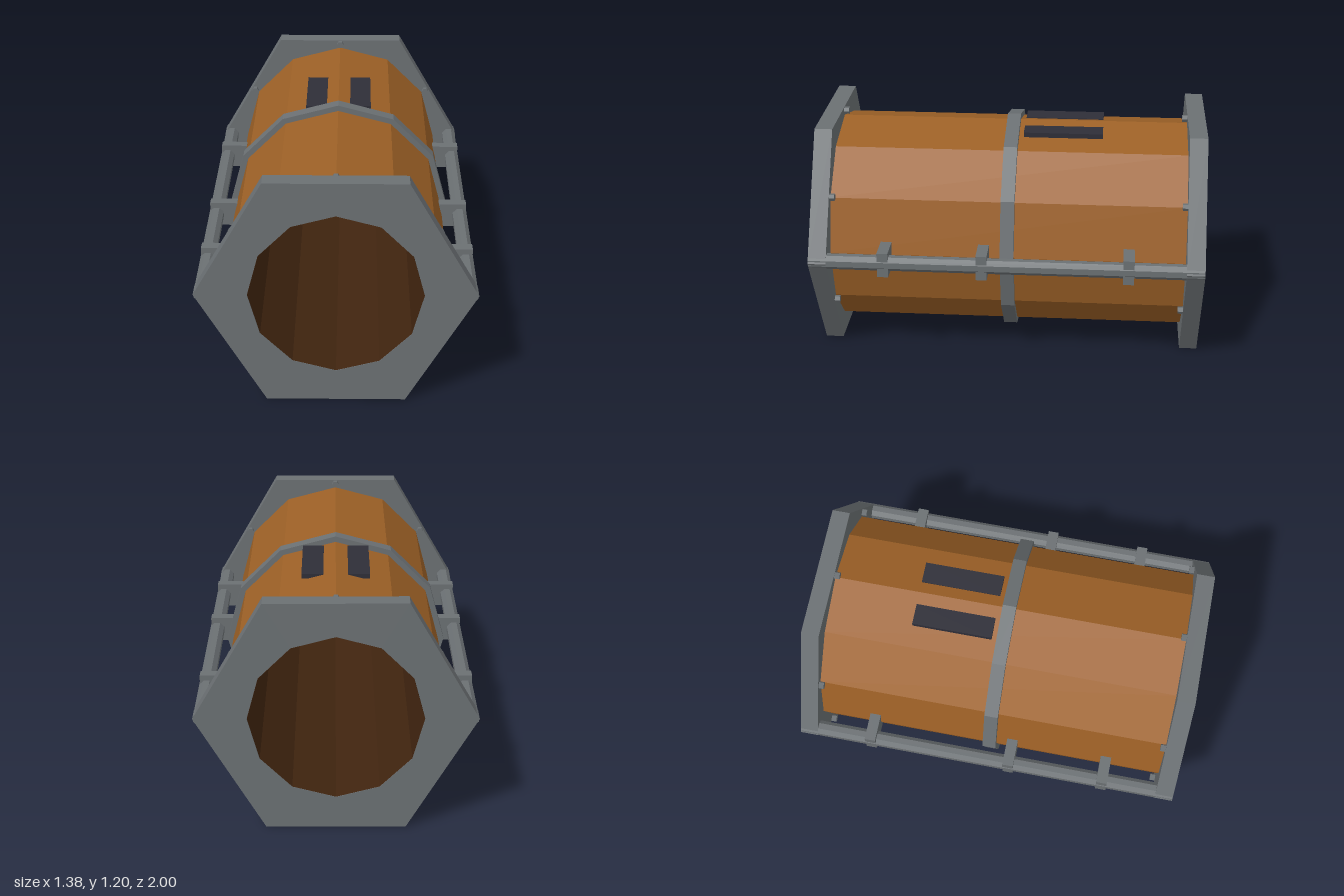
import * as THREE from 'three';

const CY = 0.6; // height of the tube axis

const mat = (name, color) => {
  const m = new THREE.MeshStandardMaterial({ color });
  m.name = name;
  return m;
};

// Regular polygon corners, counter-clockwise
const polygon = (sides, radius, start = 0) =>
  Array.from({ length: sides }, (_, i) => {
    const a = start + (i / sides) * Math.PI * 2;
    return new THREE.Vector2(Math.cos(a) * radius, Math.sin(a) * radius);
  });

// Prism along z, centred on the origin, with an optional polygonal hole
function prism(outer, length, hole) {
  const shape = new THREE.Shape(outer);
  if (hole) shape.holes.push(new THREE.Path(hole));
  const geo = new THREE.ExtrudeGeometry(shape, { depth: length, bevelEnabled: false });
  return geo.translate(0, 0, -length / 2);
}

export function createModel() {
  const model = new THREE.Group();
  model.name = 'corridorModule';

  const steel = mat('steelGrey', 0x6b7073);
  const hull = mat('hullBrown', 0x9c6026);
  const inside = mat('innerBrown', 0x40240f);
  const glass = mat('darkPanel', 0x2e2e38);
  inside.side = THREE.DoubleSide;

  const add = (name, geo, material, x = 0, y = CY, z = 0) => {
    const mesh = new THREE.Mesh(geo, material);
    mesh.name = name;
    mesh.position.set(x, y, z);
    model.add(mesh);
    return mesh;
  };

  // Twelve-sided hull and its darker lining
  add('hull', prism(polygon(12, 0.555), 1.84, polygon(12, 0.44)), hull);
  const lining = new THREE.CylinderGeometry(0.429, 0.429, 1.998, 12, 1, true).toNonIndexed();
  lining.rotateX(Math.PI / 2);
  lining.computeVertexNormals();
  add('lining', lining, inside);

  // Raised band around the middle
  add('middleBand', prism(polygon(12, 0.585), 0.07, polygon(12, 0.54)), steel);

  // Hexagonal end flanges, each with six bolts on its inner face
  const flange = prism(polygon(6, 0.692), 0.092, polygon(12, 0.43));
  const bolt = prism(polygon(6, 0.019), 0.04);
  for (const end of [1, -1]) {
    add('endFlange', flange, steel, 0, CY, end * 0.954);
    polygon(6, 0.58, Math.PI / 6).forEach((p, i) => {
      if (Math.abs(p.y) > 0.01) add('flangeBolt' + i, bolt, steel, p.x, CY + p.y, end * 0.901);
    });
  }

  // Octagonal side rails with brackets to the hull
  const rail = prism(polygon(8, 0.04, Math.PI / 8), 1.998);
  const bracket = new THREE.BoxGeometry(0.145, 0.13, 0.056);
  for (const side of [1, -1]) {
    add('sideRail', rail, steel, side * 0.65);
    for (const z of [-0.62, 0.12, 0.62]) add('railBracket', bracket, steel, side * 0.611, CY, z);
  }

  // Pair of dark roof panels
  const panel = new THREE.BoxGeometry(0.11, 0.025, 0.41);
  for (const side of [1, -1]) add('roofPanel', panel, glass, side * 0.117, 1.13, -0.265);

  return model;
}
